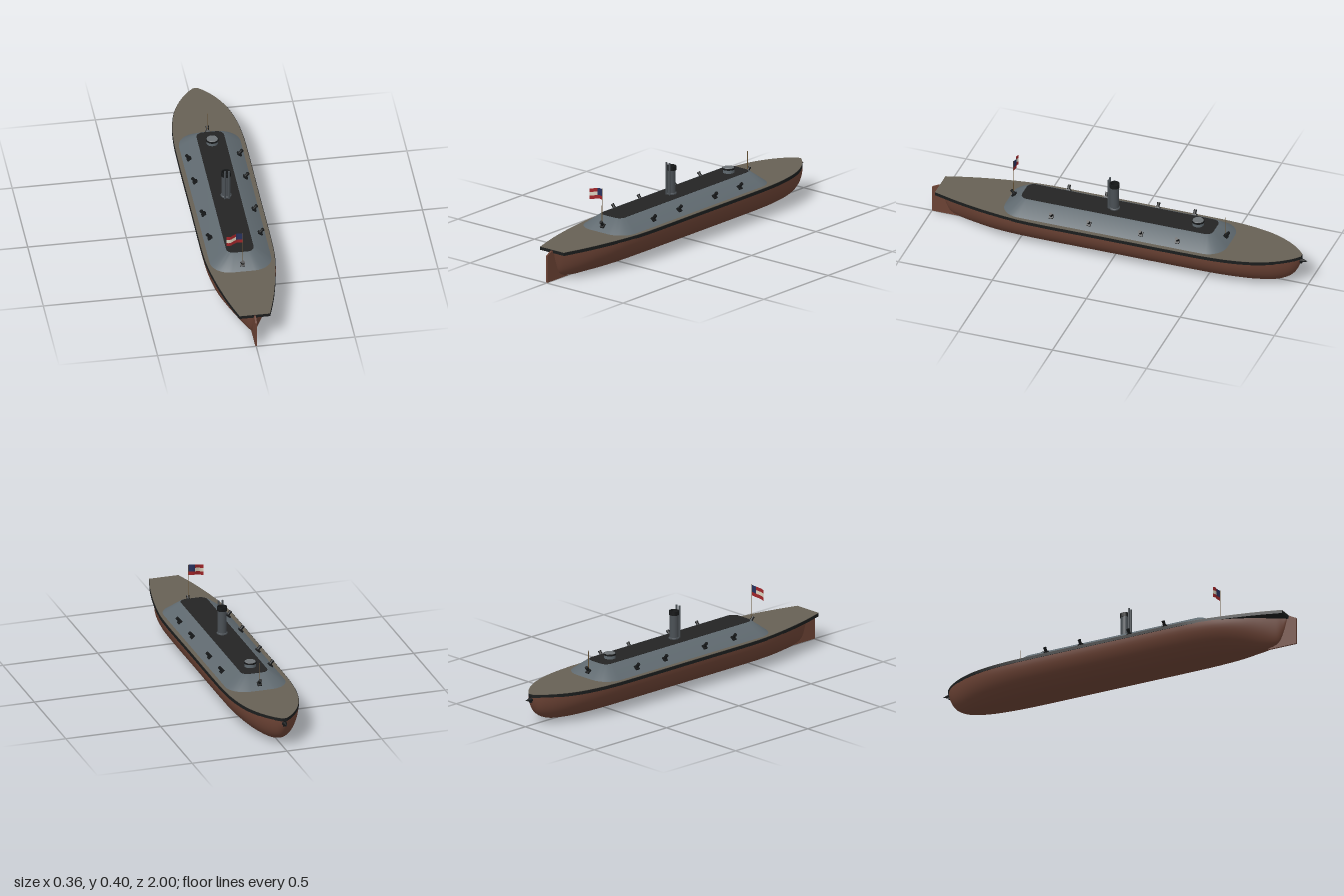
import * as THREE from 'three';
import { toCreasedNormals } from 'three/addons/utils/BufferGeometryUtils.js';

const mat = (color, side = THREE.FrontSide) => new THREE.MeshStandardMaterial({ color, side });
const M = {
  hull: mat(0x6b4234, THREE.DoubleSide), band: mat(0x1b1d1d), deck: mat(0x676054),
  iron: mat(0x5f696f), roof: mat(0x242424), gun: mat(0x17191a), funnel: mat(0x4a5055),
  pole: mat(0x6b5638), lid: mat(0x6c7174),
  red: mat(0xa02428, THREE.DoubleSide), white: mat(0xd8d0bc, THREE.DoubleSide), blue: mat(0x28325e, THREE.DoubleSide),
};

function add(parent, name, geo, material, x = 0, y = 0, z = 0) {
  const mesh = new THREE.Mesh(geo, material);
  mesh.name = name;
  mesh.position.set(x, y, z);
  parent.add(mesh);
  return mesh;
}

// Skin between rows of points
function loft(rows, closed) {
  const n = rows[0].length, pos = [], idx = [];
  rows.forEach(r => r.forEach(p => pos.push(...p)));
  for (let j = 0; j < rows.length - 1; j++) {
    for (let i = 0; i < (closed ? n : n - 1); i++) {
      const k = (i + 1) % n, a = j * n + i, b = j * n + k, c = b + n, d = a + n;
      idx.push(a, d, b, b, d, c);
    }
  }
  const g = new THREE.BufferGeometry();
  g.setAttribute('position', new THREE.Float32BufferAttribute(pos, 3));
  g.setIndex(idx);
  g.computeVertexNormals();
  return g;
}

// Rounded rectangle in the ground plane
function roundedRing(hw, hl, r, y) {
  const pts = [];
  [[1, 1], [-1, 1], [-1, -1], [1, -1]].forEach(([sx, sz], q) => {
    for (let i = 0; i <= 8; i++) {
      const a = (q + i / 8) * Math.PI / 2;
      pts.push([sx * (hw - r) + r * Math.cos(a), y, sz * (hl - r) + r * Math.sin(a)]);
    }
  });
  return pts;
}

// Flat slab from a plan outline of [x, z] points
function slab(outline, y, depth) {
  const shape = new THREE.Shape(outline.map(([x, z]) => new THREE.Vector2(x, -z)));
  const g = new THREE.ExtrudeGeometry(shape, { depth, bevelEnabled: false });
  return toCreasedNormals(g.rotateX(-Math.PI / 2).translate(0, y, 0), 0.5);
}

function deckOutline(scale = 1) {
  const side = new THREE.CatmullRomCurve3([
    [0.078, 0.957], [0.115, 0.83], [0.15, 0.67], [0.175, 0.5], [0.18, 0.4], [0.18, 0], [0.18, -0.4], [0.177, -0.54],
    [0.165, -0.66], [0.14, -0.77], [0.1, -0.86], [0.05, -0.93], [0.012, -0.965],
  ].map(([x, z]) => new THREE.Vector3(x * scale, 0, z))).getPoints(60).map(p => [p.x, p.z]);
  return [...side, ...side.slice().reverse().map(([x, z]) => [-x, z])];
}

function hullGeometry() {
  // Stations: half breadth, keel height, z
  const curve = new THREE.CatmullRomCurve3([
    [0.003, 0.146, -0.965], [0.025, 0.1, -0.952], [0.06, 0.05, -0.92], [0.1, 0.018, -0.86], [0.138, 0.005, -0.77],
    [0.163, 0.001, -0.66], [0.175, 0, -0.54], [0.178, 0, -0.4], [0.178, 0, 0], [0.178, 0, 0.4],
    [0.173, 0, 0.52], [0.155, 0, 0.64], [0.12, 0.001, 0.74], [0.075, 0.004, 0.83], [0.035, 0.025, 0.9],
    [0.016, 0.08, 0.93], [0.004, 0.146, 0.95],
  ].map(p => new THREE.Vector3(...p)));
  const top = 0.15;
  return loft(curve.getPoints(110).map(p => {
    const row = [];
    for (let i = 0; i <= 32; i++) {
      const t = Math.PI * i / 32;
      row.push([p.x * Math.cos(t), top - (top - Math.max(0, p.y)) * Math.sin(t), p.z]);
    }
    return row;
  }), false);
}

// Gun standing out square from the sloped armour, facing +z before turning
function makeGun(x, z, turn) {
  const gun = new THREE.Group();
  gun.name = 'gun';
  const tilt = new THREE.Group();
  tilt.rotation.x = -0.87;
  gun.add(tilt);
  add(tilt, 'gunPort', new THREE.BoxGeometry(0.022, 0.024, 0.014), M.gun, 0, 0, 0.003);
  add(tilt, 'gunBarrel', new THREE.CylinderGeometry(0.007, 0.009, 0.036, 14).rotateX(Math.PI / 2), M.gun, 0, 0.004, 0.014);
  add(tilt, 'muzzleRing', new THREE.CylinderGeometry(0.0085, 0.0085, 0.008, 14).rotateX(Math.PI / 2), M.gun, 0, 0.004, 0.029);
  gun.position.set(x, 0.188, z);
  gun.rotation.y = turn;
  return gun;
}

// Waving patch of the flag in its own 0..1 coordinates
function flagPatch(u0, u1, v0, v1) {
  const g = new THREE.PlaneGeometry(1, 1, 12, 1), p = g.attributes.position;
  for (let i = 0; i < p.count; i++) {
    const u = u1 + (u0 - u1) * (p.getX(i) + 0.5), v = v0 + (v1 - v0) * (p.getY(i) + 0.5);
    p.setXYZ(i, -0.082 * u, 0.33 + 0.056 * v - 0.008 * u + 0.003 * Math.sin(u * 5), 0.568 - 0.008 * Math.sin(u * 6) * u ** 0.5);
  }
  g.computeVertexNormals();
  return g;
}

export function createModel() {
  const ship = new THREE.Group();
  ship.name = 'ironclad';

  // Hull, sternpost rudder and ram
  add(ship, 'hull', hullGeometry(), M.hull);
  const blade = new THREE.Shape([[0.84, 0.002], [1, 0.002], [1, 0.142], [0.965, 0.16], [0.94, 0.16], [0.9, 0.05]]
    .map(([z, y]) => new THREE.Vector2(-z, y)));
  add(ship, 'rudder', new THREE.ExtrudeGeometry(blade, { depth: 0.009, bevelEnabled: false })
    .translate(0, 0, -0.0045).rotateY(Math.PI / 2), M.hull);
  add(ship, 'ram', new THREE.ConeGeometry(0.014, 0.045, 16).rotateX(-Math.PI / 2), M.gun, 0, 0.136, -0.9775);
  add(ship, 'ramCollar', new THREE.BoxGeometry(0.014, 0.034, 0.022), M.gun, 0, 0.137, -0.957);

  // Deck with its dark edge band
  add(ship, 'deckBand', slab(deckOutline(), 0.148, 0.016), M.band);
  add(ship, 'deck', slab(deckOutline(0.985), 0.164, 0.002), M.deck);

  // Sloped armoured casemate and dark roof
  const casemate = loft([
    roundedRing(0.158, 0.592, 0.1, 0.165), roundedRing(0.153, 0.588, 0.098, 0.168),
    roundedRing(0.077, 0.515, 0.042, 0.2265), roundedRing(0.068, 0.507, 0.034, 0.228),
  ], true);
  add(ship, 'casemate', toCreasedNormals(casemate, 0.6), M.iron);
  add(ship, 'roof', slab(roundedRing(0.07, 0.509, 0.036, 0).map(([x, , z]) => [x, z]), 0.2265, 0.0025), M.roof);

  // Broadside, bow and stern guns
  for (const s of [-1, 1]) {
    for (const z of [-0.35, -0.155, 0.12, 0.32]) ship.add(makeGun(s * 0.124, z, s * Math.PI / 2));
    ship.add(makeGun(0, s * 0.56, s > 0 ? 0 : Math.PI));
  }

  // Funnel with an open top band and two steam pipes
  const funnel = new THREE.Group();
  funnel.name = 'funnel';
  funnel.position.set(0, 0.228, 0.03);
  ship.add(funnel);
  const ring = (pts) => toCreasedNormals(new THREE.LatheGeometry(pts.map(p => new THREE.Vector2(...p)), 32), 0.6);
  add(funnel, 'funnelBase', ring([[0.027, 0], [0.027, 0.006], [0.022, 0.009]]), M.funnel);
  add(funnel, 'funnelTube', new THREE.CylinderGeometry(0.022, 0.022, 0.13, 32, 1, true), M.funnel, 0, 0.065, 0);
  add(funnel, 'funnelBand', ring([[0.022, 0.126], [0.025, 0.126], [0.025, 0.147], [0.02, 0.147], [0.02, 0.12], [0, 0.12]]), M.gun);
  for (const s of [-1, 1])
    add(funnel, 'steamPipe', new THREE.CylinderGeometry(0.005, 0.005, 0.169, 14), M.funnel, s * 0.0105, 0.0845, 0.027);

  // Pilot house
  add(ship, 'pilotHouse', new THREE.CylinderGeometry(0.029, 0.029, 0.022, 32), M.iron, 0, 0.239, -0.415);
  add(ship, 'pilotHouseRim', new THREE.CylinderGeometry(0.031, 0.031, 0.008, 32), M.gun, 0, 0.25, -0.415);
  add(ship, 'pilotHouseLid', new THREE.CylinderGeometry(0.027, 0.029, 0.003, 32), M.lid, 0, 0.2545, -0.415);

  // Flag staffs and ensign
  add(ship, 'sternStaff', new THREE.CylinderGeometry(0.0018, 0.0022, 0.2, 8), M.pole, 0, 0.288, 0.568);
  add(ship, 'bowStaff', new THREE.CylinderGeometry(0.0015, 0.002, 0.12, 8), M.pole, 0, 0.242, -0.562);
  const flag = new THREE.Group();
  flag.name = 'flag';
  ship.add(flag);
  add(flag, 'lowerStripe', flagPatch(0, 1, 0, 0.33), M.red);
  add(flag, 'middleStripe', flagPatch(0.42, 1, 0.33, 0.67), M.white);
  add(flag, 'upperStripe', flagPatch(0.42, 1, 0.67, 1), M.red);
  add(flag, 'canton', flagPatch(0, 0.42, 0.33, 1), M.blue);

  return ship;
}
